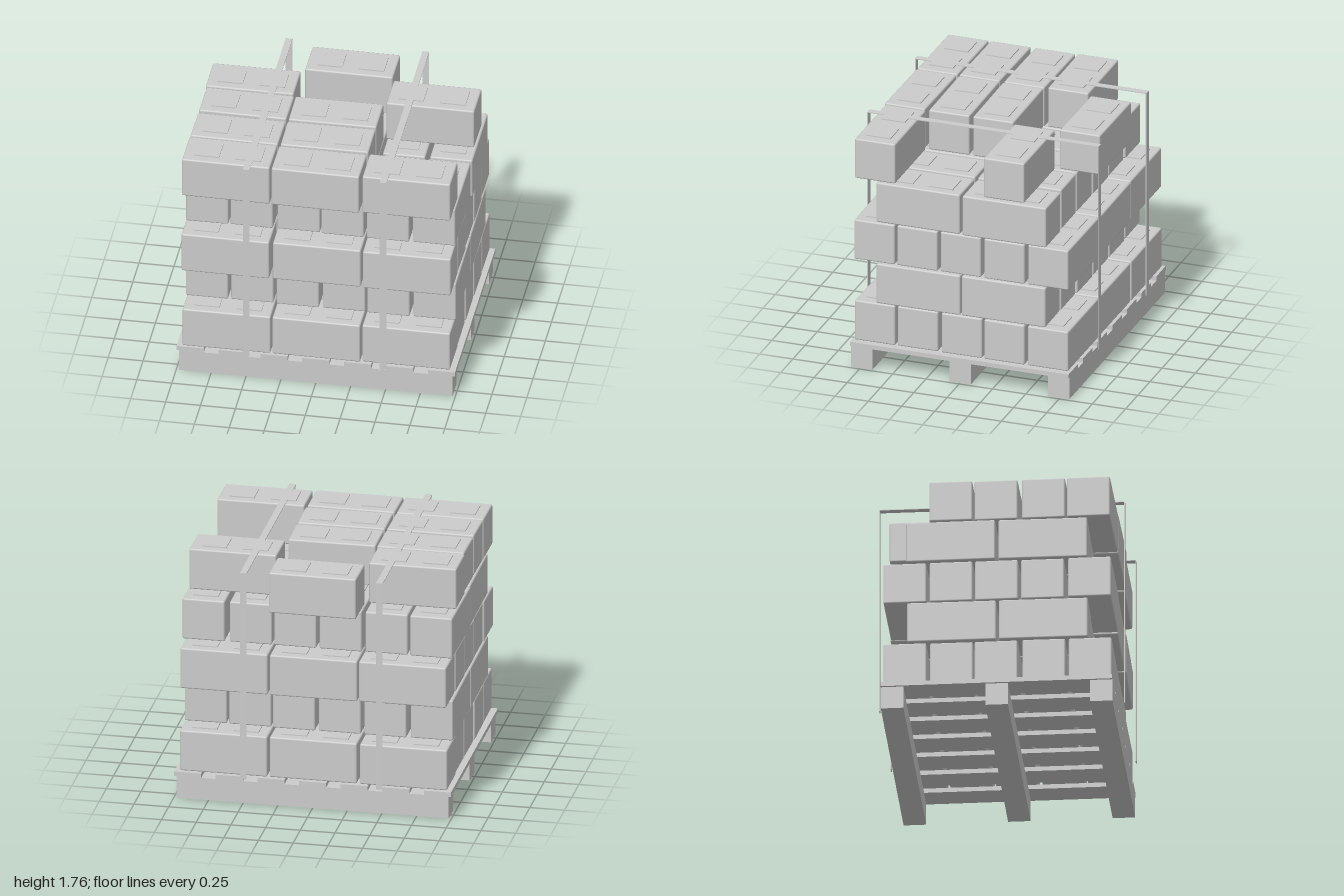
import * as THREE from 'three';
import { RoundedBoxGeometry } from 'three/addons/geometries/RoundedBoxGeometry.js';

const material = new THREE.MeshStandardMaterial({ color: 0xcccccc });

// Block size, layer spacing and height of the pallet deck
const LENGTH = 0.63, HEIGHT = 0.305, DEPTH = 0.305;
const PITCH = 0.3125, GRID = 0.327, DECK = 0.2;

function addBox(parent, name, w, h, d, x, y, z) {
  const mesh = new THREE.Mesh(new THREE.BoxGeometry(w, h, d), material);
  mesh.name = name;
  mesh.position.set(x, y, z);
  parent.add(mesh);
}

function seeded(seed) {
  return () => {
    seed = (seed * 16807) % 2147483647;
    return seed / 2147483647 - 0.5;
  };
}

// Three runners under seven deck slats
function createPallet() {
  const pallet = new THREE.Group();
  pallet.name = 'pallet';
  for (const z of [-0.74, 0, 0.74]) {
    addBox(pallet, 'palletRunner', 1.96, 0.165, 0.16, 0, 0.0825, z);
  }
  for (let i = 0; i < 7; i++) {
    addBox(pallet, 'deckSlat', 0.195, 0.033, 1.64, -0.9 + 0.3 * i, 0.1815, 0);
  }
  return pallet;
}

// Softly bevelled block with two low raised pads on top
const blockGeometry = new RoundedBoxGeometry(LENGTH, HEIGHT, DEPTH, 1, 0.012);
const padGeometry = new THREE.BoxGeometry(0.18, 0.016, 0.18);

function createBlock(x, y, z, turn) {
  const block = new THREE.Group();
  block.name = 'block';
  const body = new THREE.Mesh(blockGeometry, material);
  body.name = 'blockBody';
  block.add(body);
  for (const side of [-1, 1]) {
    const pad = new THREE.Mesh(padGeometry, material);
    pad.name = 'blockPad';
    pad.position.set(side * 0.15, HEIGHT / 2, 0);
    block.add(pad);
  }
  block.position.set(x, y + HEIGHT / 2, z);
  block.rotation.y = turn;
  return block;
}

// Layers alternate between lengthwise (3 x 5) and crosswise (6 x 2) blocks
function createStack() {
  const stack = new THREE.Group();
  stack.name = 'blockStack';
  const jitter = seeded(4711);
  // Places taken from the unfinished top layer, as column,row
  const taken = new Set(['0,0', '2,0', '1,1', '2,2', '2,3']);
  for (let layer = 0; layer < 5; layer++) {
    const crosswise = layer % 2 === 1;
    const columns = crosswise ? 6 : 3;
    const rows = crosswise ? 2 : 5;
    const stepX = crosswise ? GRID : 0.645;
    const stepZ = crosswise ? 0.645 : GRID;
    for (let c = 0; c < columns; c++) {
      for (let r = 0; r < rows; r++) {
        if (layer === 4 && taken.has(`${c},${r}`)) continue;
        const x = (c - (columns - 1) / 2) * stepX + jitter() * 0.012;
        const z = (r - (rows - 1) / 2) * stepZ + jitter() * 0.012;
        const turn = (crosswise ? Math.PI / 2 : 0) + jitter() * 0.02;
        stack.add(createBlock(x, DECK + 0.002 + layer * PITCH, z, turn));
      }
    }
  }
  return stack;
}

// Flat band running up the front, over the top and down the back
function createStrap(x, name) {
  const strap = new THREE.Group();
  strap.name = name;
  const top = 1.765, reach = 0.87, thick = 0.006;
  for (const side of [-1, 1]) {
    addBox(strap, 'strapUpright', 0.048, top - DECK, thick, x, (top + DECK) / 2, side * (reach - thick / 2));
  }
  addBox(strap, 'strapTop', 0.048, thick, 2 * (reach - thick), x, top - thick / 2, 0);
  return strap;
}

export function createModel() {
  const model = new THREE.Group();
  model.name = 'palletOfBlocks';
  model.add(createPallet(), createStack(), createStrap(0.49, 'leftStrap'), createStrap(-0.49, 'rightStrap'));
  return model;
}
